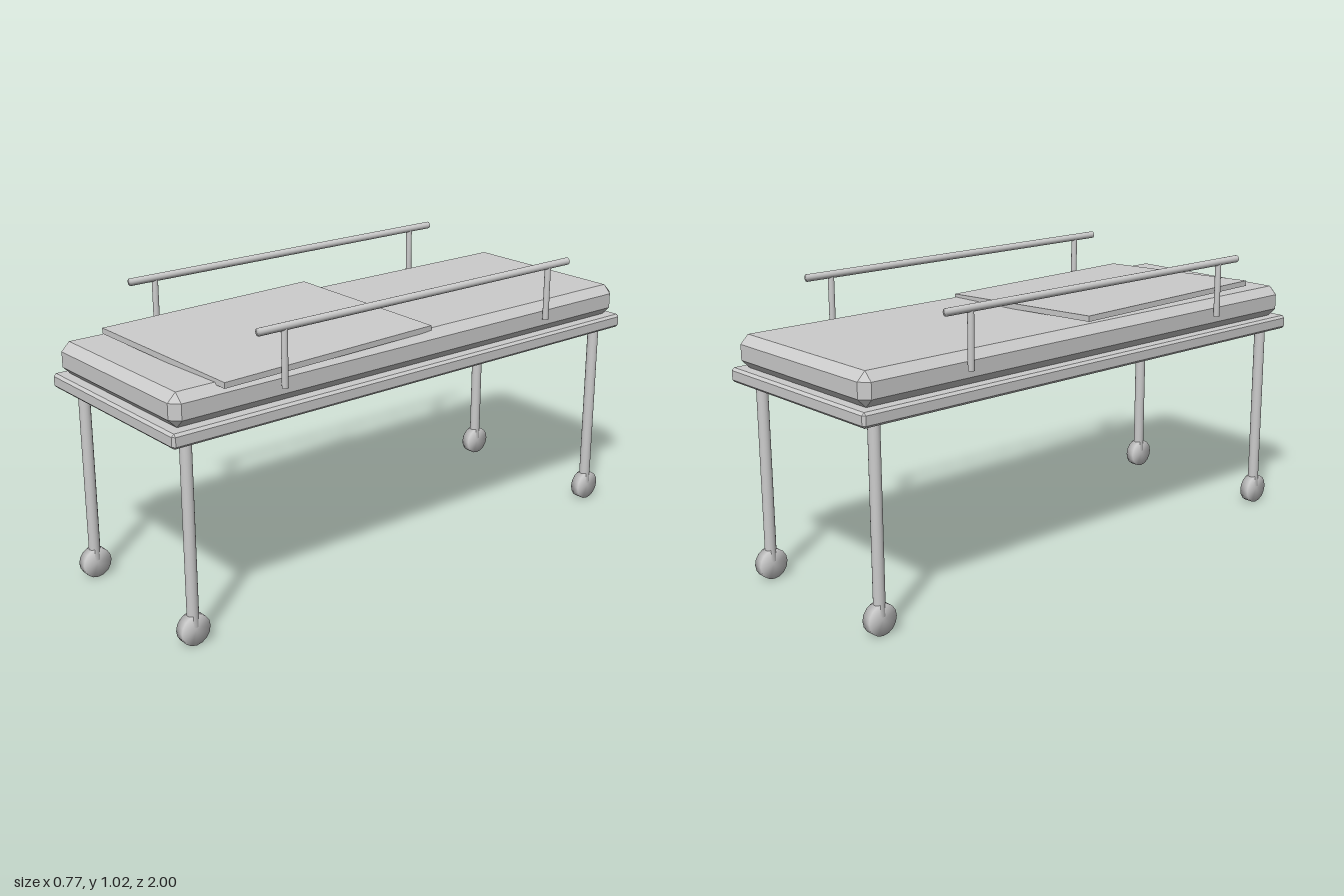
import * as THREE from 'three';
import { mergeVertices } from 'three/addons/utils/BufferGeometryUtils.js';
import { ConvexGeometry } from 'three/addons/geometries/ConvexGeometry.js';

// Box with every edge and corner cut off by c
function chamferBox(w, h, d, c) {
  const points = [];
  for (const x of [-w / 2, w / 2]) for (const y of [-h / 2, h / 2]) for (const z of [-d / 2, d / 2]) {
    const cx = x - Math.sign(x) * c, cy = y - Math.sign(y) * c, cz = z - Math.sign(z) * c;
    points.push(new THREE.Vector3(x, cy, cz), new THREE.Vector3(cx, y, cz), new THREE.Vector3(cx, cy, z));
  }
  return new ConvexGeometry(points);
}

// Cylinder shaded smoothly over its rims
function softCylinder(radius, length, sides = 16) {
  const g = new THREE.CylinderGeometry(radius, radius, length, sides);
  g.deleteAttribute('normal');
  g.deleteAttribute('uv');
  const merged = mergeVertices(g);
  merged.computeVertexNormals();
  return merged;
}

export function createModel() {
  const group = new THREE.Group();
  const grey = new THREE.MeshStandardMaterial({ color: 0xcccccc });
  grey.name = 'light grey';

  function add(name, geometry, x, y, z) {
    const mesh = new THREE.Mesh(geometry, grey);
    mesh.name = name;
    mesh.position.set(x, y, z);
    group.add(mesh);
    return mesh;
  }

  // Bed base and mattress
  add('bedFrame', chamferBox(0.742, 0.05, 2, 0.009), 0, 0.727, 0);
  add('mattress', chamferBox(0.707, 0.114, 1.97, 0.03), 0, 0.809, 0);

  // Folded sheet lying askew
  const blanket = add('blanket', new THREE.BoxGeometry(0.67, 0.02, 0.88), 0.017, 0.877, 0.388);
  blanket.rotation.set(0, 0.048, -0.03);

  const legGeometry = softCylinder(0.02, 0.646);
  const wheelGeometry = softCylinder(0.054, 0.035).rotateZ(Math.PI / 2);
  const railGeometry = softCylinder(0.013, 1.37).rotateX(Math.PI / 2);
  const postGeometry = softCylinder(0.011, 0.2);

  for (const [side, sx] of [['left', 1], ['right', -1]]) {
    // Side rail on two posts
    add(side + 'Rail', railGeometry, sx * 0.373, 1.01, 0);
    for (const [end, sz] of [['Front', 1], ['Back', -1]]) {
      add(side + end + 'RailPost', postGeometry, sx * 0.373, 0.91, sz * 0.585);
      // Leg and its wheel
      add(side + end + 'Leg', legGeometry, sx * 0.311, 0.387, sz * 0.92);
      add(side + end + 'Wheel', wheelGeometry, sx * 0.311, 0.054, sz * 0.92);
    }
  }
  return group;
}
